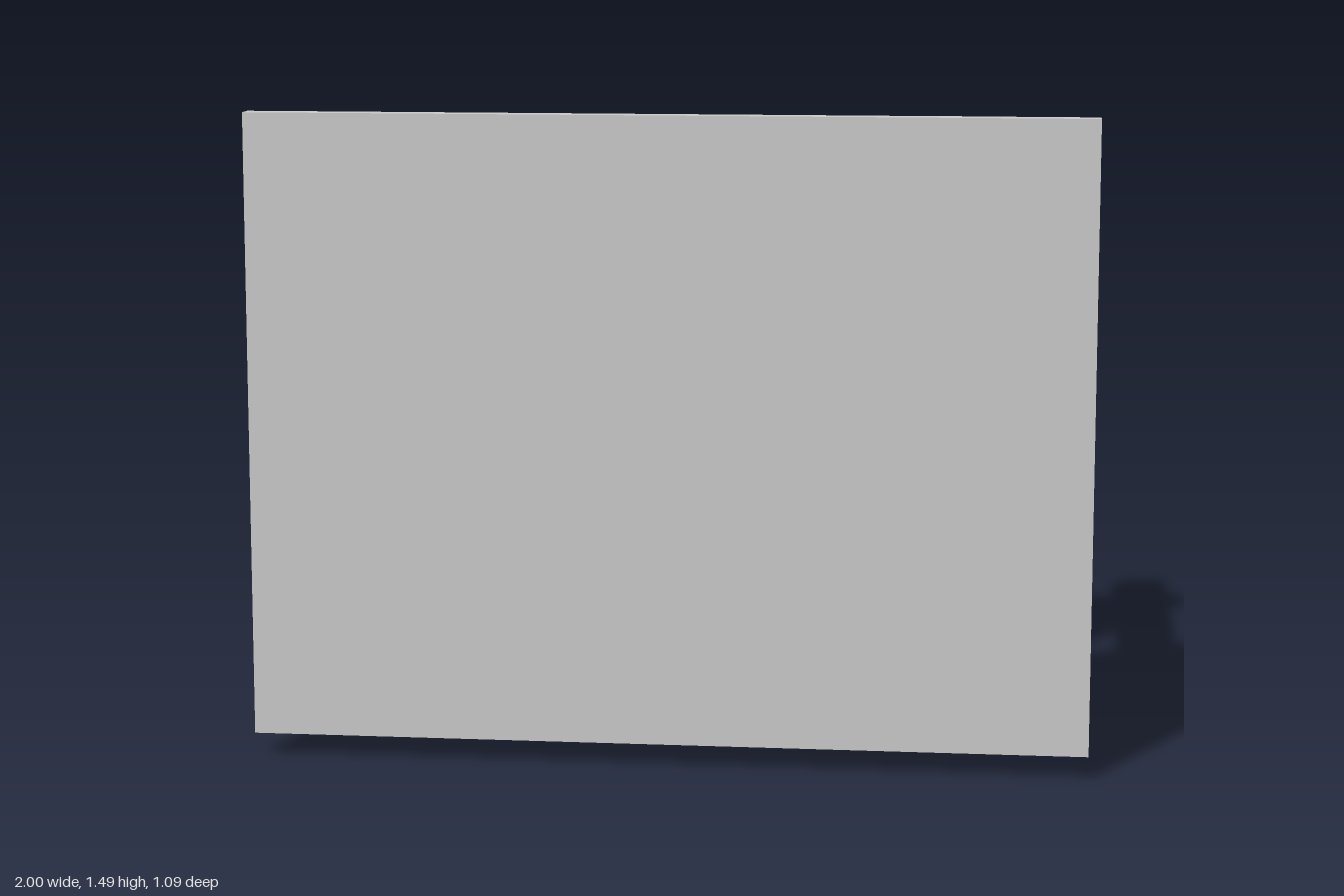
import * as THREE from 'three';

const mat = (color) => new THREE.MeshStandardMaterial({ color, side: THREE.DoubleSide });
const grey = mat(0xcccccc), black = mat(0x0c0c0c), dark = mat(0x444444);

function add(parent, name, geometry, material, x = 0, y = 0, z = 0) {
  const m = new THREE.Mesh(geometry, material);
  m.name = name;
  m.position.set(x, y, z);
  parent.add(m);
  return m;
}
// box given by its limits
function box(parent, name, x0, x1, y0, y1, z0, z1, material = grey) {
  return add(parent, name, new THREE.BoxGeometry(x1 - x0, y1 - y0, z1 - z0), material,
    (x0 + x1) / 2, (y0 + y1) / 2, (z0 + z1) / 2);
}
// upright cylinder between two heights
function post(parent, name, r, y0, y1, x, z, material = grey, sides = 48) {
  return add(parent, name, new THREE.CylinderGeometry(r, r, y1 - y0, sides), material, x, (y0 + y1) / 2, z);
}
const polygon = (pts) => new THREE.Shape(pts.map(([x, y]) => new THREE.Vector2(x, y)));
const extrude = (shape, depth) =>
  new THREE.ExtrudeGeometry(shape, { depth, bevelEnabled: false, curveSegments: 32 });

// stadium outline around the two end rollers
function stadium(Type, half, r) {
  const s = new Type();
  s.moveTo(-half, -r);
  s.lineTo(half, -r);
  s.absarc(half, 0, r, -Math.PI / 2, Math.PI / 2, false);
  s.lineTo(-half, r);
  s.absarc(-half, 0, r, Math.PI / 2, Math.PI * 1.5, false);
  return s;
}

const Y0 = 0.378, Y1 = 1.157;   // height range of the belt and the collector

function conveyor() {
  const g = new THREE.Group();
  g.name = 'conveyor';
  g.position.set(-0.091, 0, -0.171);
  g.rotation.y = 0.254;

  // side beams
  for (const y of [0.25, 1.243]) box(g, 'sideBeam', -0.92, 0.92, y, y + 0.05, -0.059, 0.059);

  // rollers on their shafts
  [-0.78, -0.26, 0.26, 0.78].forEach((x, i) => {
    const end = i === 0 || i === 3;
    post(g, end ? 'endRoller' : 'middleRoller', end ? 0.117 : 0.115, Y0, Y1, x, 0, end ? dark : grey);
    post(g, 'shaft', 0.012, 0.118, 1.425, x, 0, grey, 20);
  });

  // belt
  const loop = stadium(THREE.Shape, 0.78, 0.121);
  loop.holes.push(stadium(THREE.Path, 0.78, 0.118));
  const belt = extrude(loop, Y1 - Y0);
  belt.rotateX(-Math.PI / 2);
  add(g, 'belt', belt, black, 0, Y0, 0);

  // toothed slats on the back run of the belt
  const bar = new THREE.BoxGeometry(0.014, 0.74, 0.027);
  const tooth = new THREE.BoxGeometry(0.062, 0.032, 0.025);
  for (const x of [-0.777, -0.65, -0.485, -0.307, -0.125, 0.068, 0.245, 0.411, 0.565, 0.726]) {
    const slat = new THREE.Group();
    slat.name = 'slat';
    slat.position.set(x, 0.7675, -0.134);
    add(slat, 'slatBar', bar, grey, -0.025);
    for (let i = 0; i < 6; i++) {
      add(slat, 'slatTooth', tooth, grey, 0.006, (i - 2.5) * 0.117).rotation.z = 0.7;
    }
    g.add(slat);
  }
  return g;
}

function collector() {
  const g = new THREE.Group();
  g.name = 'collector';
  const body = extrude(polygon([[0.495, -0.497], [1, -0.497], [1, -0.235], [0.935, 0.015], [0.495, -0.235]]), Y1 - Y0);
  body.rotateX(-Math.PI / 2);
  add(g, 'collectorBody', body, grey, 0, Y0, 0);

  // coloured slots on the slanted face
  const frame = polygon([[-0.13, -0.05], [0.13, -0.05], [0.13, 0.05], [-0.13, 0.05]]);
  frame.holes.push(polygon([[-0.11, -0.034], [-0.11, 0.034], [0.11, 0.034], [0.11, -0.034]]));
  const frameGeometry = extrude(frame, 0.022);
  [0xe87511, 0xe6dc14, 0x12c22e, 0xc414c4].forEach((color, i) => {
    const slot = new THREE.Group();
    slot.name = 'colourSlot';
    slot.position.set(0.688, 1.045 - i * 0.183, 0.125);
    slot.rotation.y = Math.atan2(0.25, 0.44);
    add(slot, 'slotFrame', frameGeometry, mat(color), 0, 0, -0.021);
    box(slot, 'slotBack', -0.11, 0.11, -0.034, 0.034, -0.005, 0.001, mat(color));
    g.add(slot);
  });
  return g;
}

export function createModel() {
  const model = new THREE.Group();
  model.name = 'sortingConveyor';

  box(model, 'frontPlate', -0.913, 1, 0.053, 1.486, 0.497, 0.547);

  // square arms carrying the far end
  for (const y of [0.133, 1.293]) box(model, 'squareArm', 0.604, 0.716, y, y + 0.117, -0.547, 0.498);

  // thin arms flaring into the plate
  for (const y of [0.188, 1.355]) {
    const arm = extrude(polygon([
      [-0.03, -0.018], [0.415, -0.018], [0.498, -0.092],
      [0.498, 0.092], [0.415, 0.018], [-0.03, 0.018],
    ]), 0.126);
    arm.rotateY(-Math.PI / 2);
    add(model, 'flaredArm', arm, grey, -0.787, y, 0);
  }

  model.add(conveyor(), collector());

  // crank under the near roller
  const crank = new THREE.Group();
  crank.name = 'crank';
  post(crank, 'crankDisc', 0.13, 0.134, 0.157, -0.845, 0.024);
  const handle = [[0, 0], [0.012, 0], [0.017, 0.004], [0.019, 0.01], [0.019, 0.14], [0, 0.14]]
    .map(([r, y]) => new THREE.Vector2(r, y));
  add(crank, 'crankHandle', new THREE.LatheGeometry(handle, 24), grey, -0.912, 0, -0.012);
  model.add(crank);

  // ball carried by the belt
  add(model, 'ball', new THREE.SphereGeometry(0.025, 24, 16), grey, 0.663, 1.033, -0.512);

  return model;
}
